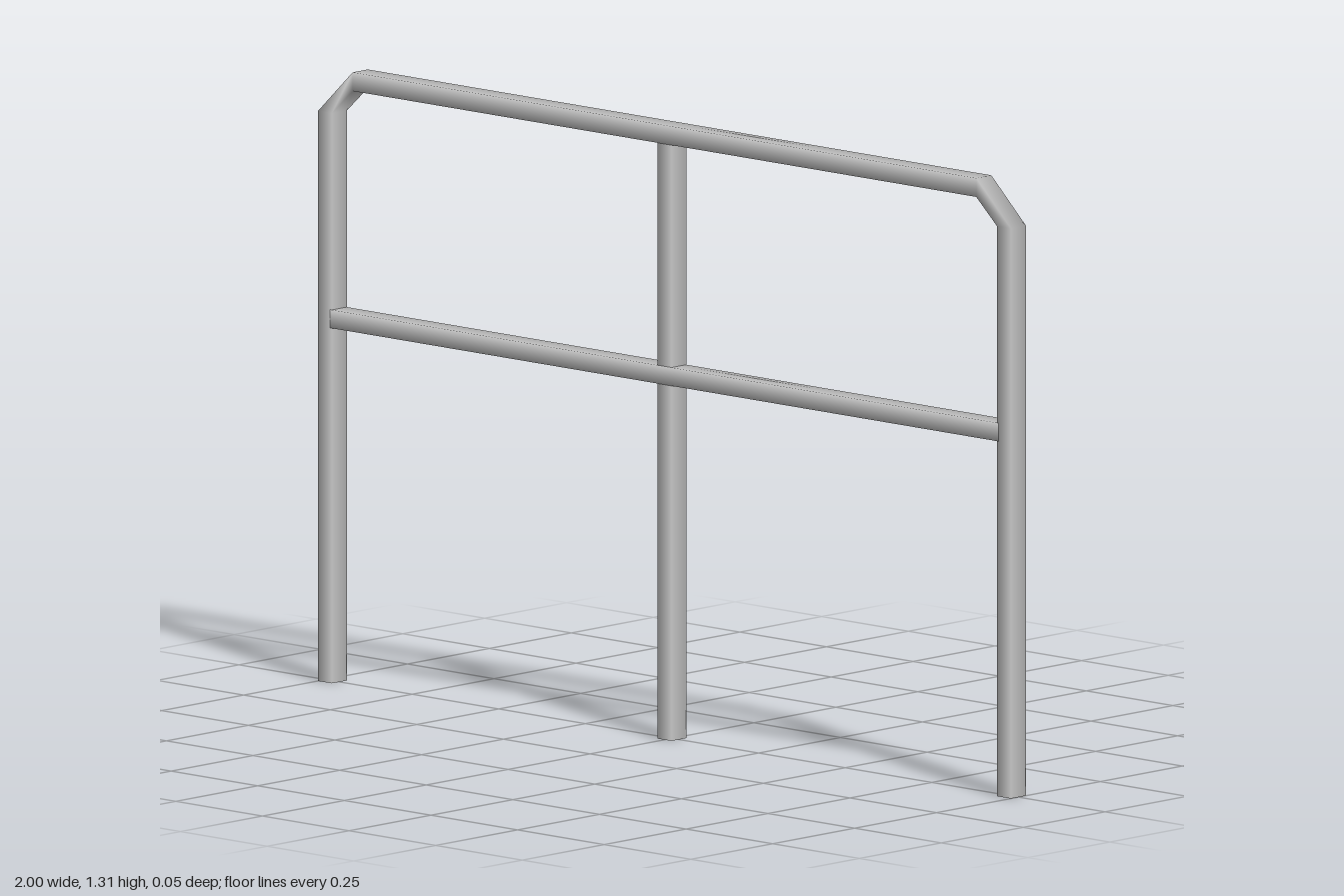
import * as THREE from 'three';

const DEPTH = 0.023; // half depth of every tube

export function createModel() {
  const group = new THREE.Group();
  const material = new THREE.MeshStandardMaterial({ color: 0xcccccc, side: THREE.DoubleSide });

  // Open four-sided tube with soft edges between two end cuts.
  // Each cut is a pair of [x, y] points: left side and right side of the travel direction.
  function tube(name, start, end, z = 0) {
    const positions = [], index = [];
    for (const [l, r] of [start, end]) {
      positions.push(...l, z + DEPTH, ...r, z + DEPTH, ...r, z - DEPTH, ...l, z - DEPTH);
    }
    for (let i = 0; i < 4; i++) {
      const j = (i + 1) % 4;
      index.push(i, i + 4, j, j, i + 4, j + 4);
    }
    // wind outward: left of travel comes first, so flip every triangle
    for (let i = 0; i < index.length; i += 3) {
      [index[i + 1], index[i + 2]] = [index[i + 2], index[i + 1]];
    }
    // normals point from the tube's axis through each corner
    const normals = [];
    for (const [l, r] of [start, end]) {
      const d = new THREE.Vector2(l[0] - r[0], l[1] - r[1]).normalize().multiplyScalar(Math.SQRT1_2);
      const n = Math.SQRT1_2;
      normals.push(d.x, d.y, n, -d.x, -d.y, n, -d.x, -d.y, -n, d.x, d.y, -n);
    }
    const geometry = new THREE.BufferGeometry();
    geometry.setAttribute('position', new THREE.Float32BufferAttribute(positions, 3));
    geometry.setAttribute('normal', new THREE.Float32BufferAttribute(normals, 3));
    geometry.setIndex(index);
    const mesh = new THREE.Mesh(geometry, material);
    mesh.name = name;
    group.add(mesh);
  }

  // End posts and the slanted corners joining them to the handrail
  const postTop = 1.215, railX = 0.9;
  const outer = 1, inner = 0.96, low = 1.27, high = 1.31;
  tube('rightPost', [[-outer, 0], [-inner, 0]], [[-outer, postTop], [-inner, postTop]]);
  tube('rightCorner', [[-outer, postTop], [-inner, postTop]], [[-railX, high], [-railX, low]]);
  tube('leftCorner', [[railX, high], [railX, low]], [[outer, postTop], [inner, postTop]]);
  tube('leftPost', [[outer, postTop], [inner, postTop]], [[outer, 0], [inner, 0]]);

  // Handrail
  tube('topRail', [[-railX, high], [-railX, low]], [[railX, high], [railX, low]]);

  // Middle rail, a hair forward so it does not share faces with the posts
  tube('middleRail', [[-0.965, 0.796], [-0.965, 0.757]], [[0.965, 0.796], [0.965, 0.757]], 0.0005);

  // Centre post
  tube('centrePost', [[-0.02, 0], [0.02, 0]], [[-0.02, low], [0.02, low]]);

  return group;
}
